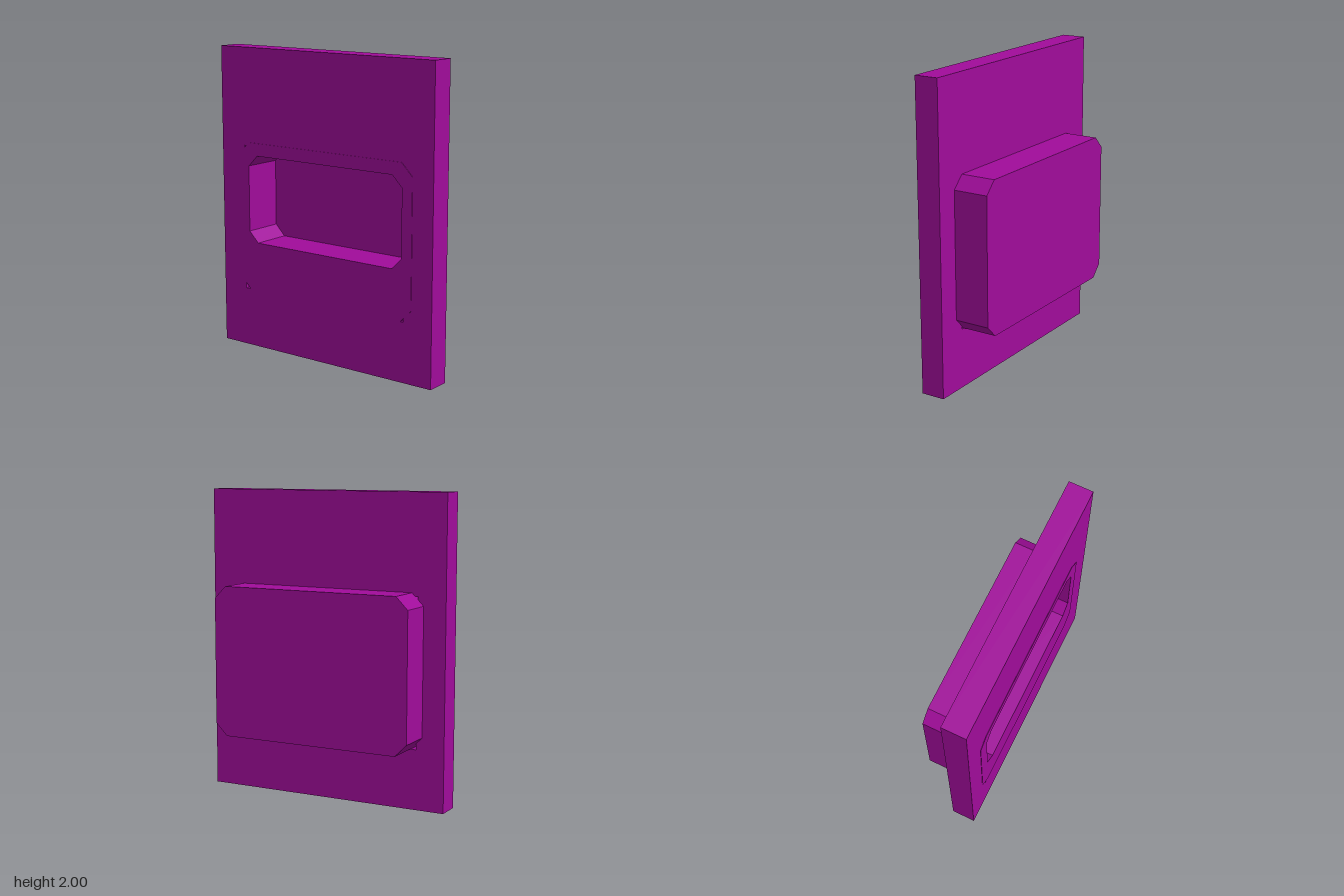
import * as THREE from 'three';

// Rectangle outline with corners cut by c (c = 0 gives a plain rectangle)
function outline(PathType, x0, x1, y0, y1, c = 0) {
  const p = new PathType();
  p.moveTo(x0 + c, y0);
  p.lineTo(x1 - c, y0);
  if (c) p.lineTo(x1, y0 + c);
  p.lineTo(x1, y1 - c);
  if (c) p.lineTo(x1 - c, y1);
  p.lineTo(x0 + c, y1);
  if (c) p.lineTo(x0, y1 - c);
  p.lineTo(x0, y0 + c);
  p.closePath();
  return p;
}

export function createModel() {
  const material = new THREE.MeshStandardMaterial({ color: 0xa00c9a, flatShading: true });

  // Extrudes a shape between two depths, with an optional hole
  function slab(name, shape, z0, z1, hole) {
    if (hole) shape.holes.push(hole);
    const geometry = new THREE.ExtrudeGeometry(shape, { depth: z1 - z0, bevelEnabled: false });
    geometry.translate(0, 0, z0);
    const mesh = new THREE.Mesh(geometry, material);
    mesh.name = name;
    return mesh;
  }

  const housing = () => outline(THREE.Shape, -0.69, 0.69, 0.39, 1.38, 0.08);
  const front = 0.197, floor = -0.07;

  // Wall panel with a rectangular opening slightly larger than the housing's cut corners
  const panel = slab('panel', outline(THREE.Shape, -0.84, 0.84, 0, 2), 0.035, 0.194,
    outline(THREE.Path, -0.65, 0.632, 0.39, 1.358));

  // Housing pushed through the panel: solid back and a front ring around the recess
  const recessedBox = new THREE.Group();
  recessedBox.name = 'recessedBox';
  recessedBox.add(
    slab('boxBack', housing(), -front, floor),
    slab('boxRim', housing(), floor, front, outline(THREE.Path, -0.61, 0.615, 0.715, 1.297, 0.072)),
  );

  const model = new THREE.Group();
  model.name = 'recessedPanel';
  model.add(panel, recessedBox);
  return model;
}
